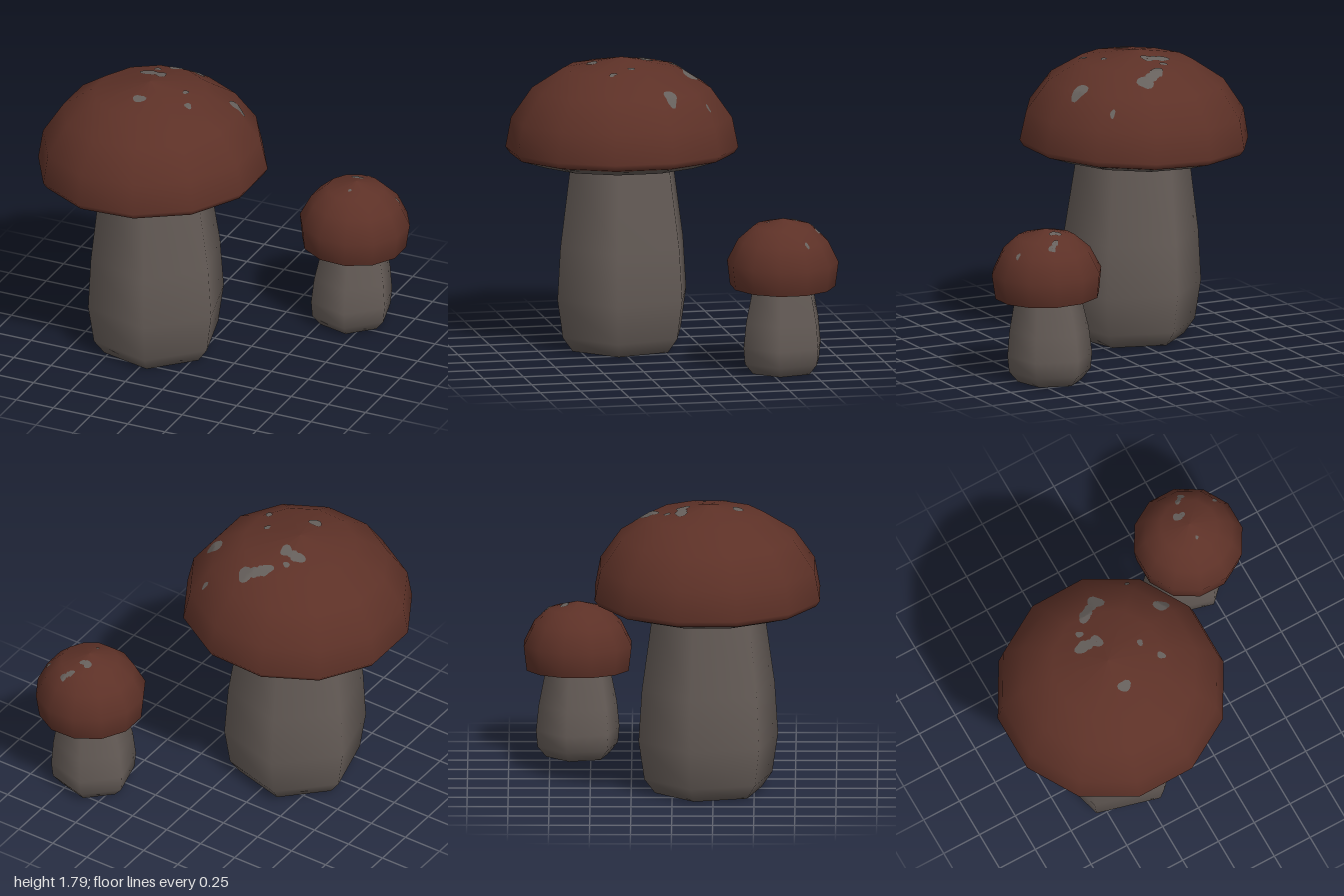
import * as THREE from 'three';

const CAP_SIDES = 12, STEM_SIDES = 6, TURN = Math.PI / 12;

const paint = (name, hex) => {
  const m = new THREE.MeshStandardMaterial({ color: hex });
  m.name = name;
  return m;
};

// Turned shape whose profile is measured to the middle of the flat sides
function turned(profile, sides, scale) {
  const pts = profile.map(([r, y]) => new THREE.Vector2(r * scale, y));
  return new THREE.LatheGeometry(pts, sides, TURN, Math.PI * 2);
}

function part(name, geometry, material) {
  const mesh = new THREE.Mesh(geometry, material);
  mesh.name = name;
  return mesh;
}

// Height of the faceted cap above (x, z); profile runs from rim to tip
function capHeight(profile, x, z) {
  let a = 0;
  for (let i = 0; i < CAP_SIDES; i++) {
    const t = (i * Math.PI * 2) / CAP_SIDES;
    a = Math.max(a, x * Math.cos(t) + z * Math.sin(t));
  }
  for (let i = profile.length - 1; i > 0; i--) {
    const [r0, y0] = profile[i], [r1, y1] = profile[i - 1];
    if (a <= r1) return y0 + ((y1 - y0) * (a - r0)) / (r1 - r0);
  }
  return profile[0][1];
}

// Lumpy thin patch draped over the cap
function spot(profile, cx, cz, radius, seed) {
  const g = new THREE.RingGeometry(0.0005, radius, 14, 3);
  g.rotateX(-Math.PI / 2);
  const p = g.attributes.position;
  for (let i = 0; i < p.count; i++) {
    const t = Math.atan2(p.getZ(i), p.getX(i));
    const k = 1 + 0.14 * Math.sin(2 * t + seed) + 0.1 * Math.sin(3 * t + seed * 2);
    const x = cx + p.getX(i) * k, z = cz + p.getZ(i) * k;
    p.setXYZ(i, x, capHeight(profile, x, z) + 0.005, z);
  }
  g.computeVertexNormals();
  return g;
}

function mushroom(name, spec, mats) {
  const group = new THREE.Group();
  group.name = name;

  // Six-sided stem, leaning slightly towards its top
  const stem = turned(spec.stem, STEM_SIDES, 1 / Math.cos(TURN));
  const p = stem.attributes.position;
  for (let i = 0; i < p.count; i++) {
    const k = p.getY(i) / spec.pivot[1];
    p.setX(i, p.getX(i) + spec.lean * k * k);
  }
  const stemMesh = part('stem', stem, mats.stem);
  stemMesh.position.set(spec.base[0], 0, spec.base[1]);
  group.add(stemMesh);

  // Tilted cap with underside and spots
  const cap = new THREE.Group();
  cap.name = 'cap';
  cap.position.set(...spec.pivot);
  cap.rotation.z = spec.tilt;
  const scale = 1 / Math.cos(TURN);
  const shift = (prof) => prof.map(([r, y]) => [r, y - spec.pivot[1]]);
  const top = shift(spec.cap);
  cap.add(part('capTop', turned(top, CAP_SIDES, scale), mats.cap));
  cap.add(part('capUnderside', turned(shift(spec.under), CAP_SIDES, scale), mats.stem));
  const dome = top.slice(spec.domeStart);
  spec.spots.forEach(([x, z, r], i) => {
    const lx = x - spec.pivot[0] + spec.tilt * 0.5 * spec.domeRise;
    cap.add(part('spot', spot(dome, lx, z - spec.pivot[2], r, i * 1.7), mats.spot));
  });
  group.add(cap);
  return group;
}

export function createModel() {
  const mats = {
    cap: paint('capBrown', 0x5d3127),
    stem: paint('stemGrey', 0x655c57),
    spot: paint('spotGrey', 0x66605c),
  };
  const model = new THREE.Group();
  model.name = 'mushrooms';

  model.add(mushroom('largeMushroom', {
    base: [-0.29, 0.22], lean: -0.018, pivot: [-0.3125, 1.2, 0.215], tilt: 0.034,
    stem: [[0, 0], [0.325, 0], [0.39, 0.09], [0.425, 0.33], [0.405, 0.65], [0.335, 1.16], [0.325, 1.26]],
    cap: [[0.635, 1.192], [0.662, 1.2], [0.687, 1.237], [0.653, 1.42], [0.5275, 1.605],
      [0.338, 1.73], [0, 1.795]],
    under: [[0.28, 1.19], [0.4, 1.165], [0.5, 1.147], [0.635, 1.192]],
    domeStart: 2, domeRise: 1.1,
    spots: [[-0.2, -0.185, 0.048], [-0.24, -0.165, 0.035], [-0.31, -0.12, 0.04], [-0.275, -0.145, 0.03],
      [-0.395, -0.03, 0.022], [-0.425, 0.055, 0.042], [-0.375, 0.06, 0.03], [-0.33, 0.065, 0.04],
      [0.15, 0.01, 0.045], [0.05, -0.245, 0.016], [-0.1, 0.2, 0.02], [-0.025, 0.33, 0.024],
      [-0.32, 0.4, 0.038]],
  }, mats));

  model.add(mushroom('smallMushroom', {
    base: [0.65, -0.58], lean: 0.016, pivot: [0.669, 0.55, -0.58], tilt: -0.03,
    stem: [[0, 0], [0.192, 0], [0.245, 0.065], [0.254, 0.165], [0.239, 0.32], [0.195, 0.54], [0.185, 0.62]],
    cap: [[0.285, 0.537], [0.311, 0.538], [0.329, 0.69], [0.265, 0.823], [0.172, 0.91], [0, 0.957]],
    under: [[0.15, 0.59], [0.22, 0.565], [0.285, 0.537]],
    domeStart: 2, domeRise: 0.6,
    spots: [[0.64, -0.66, 0.027], [0.67, -0.66, 0.02], [0.695, -0.755, 0.018], [0.715, -0.77, 0.013],
      [0.735, -0.785, 0.02], [0.915, -0.68, 0.014], [0.68, -0.488, 0.011]],
  }, mats));

  return model;
}
